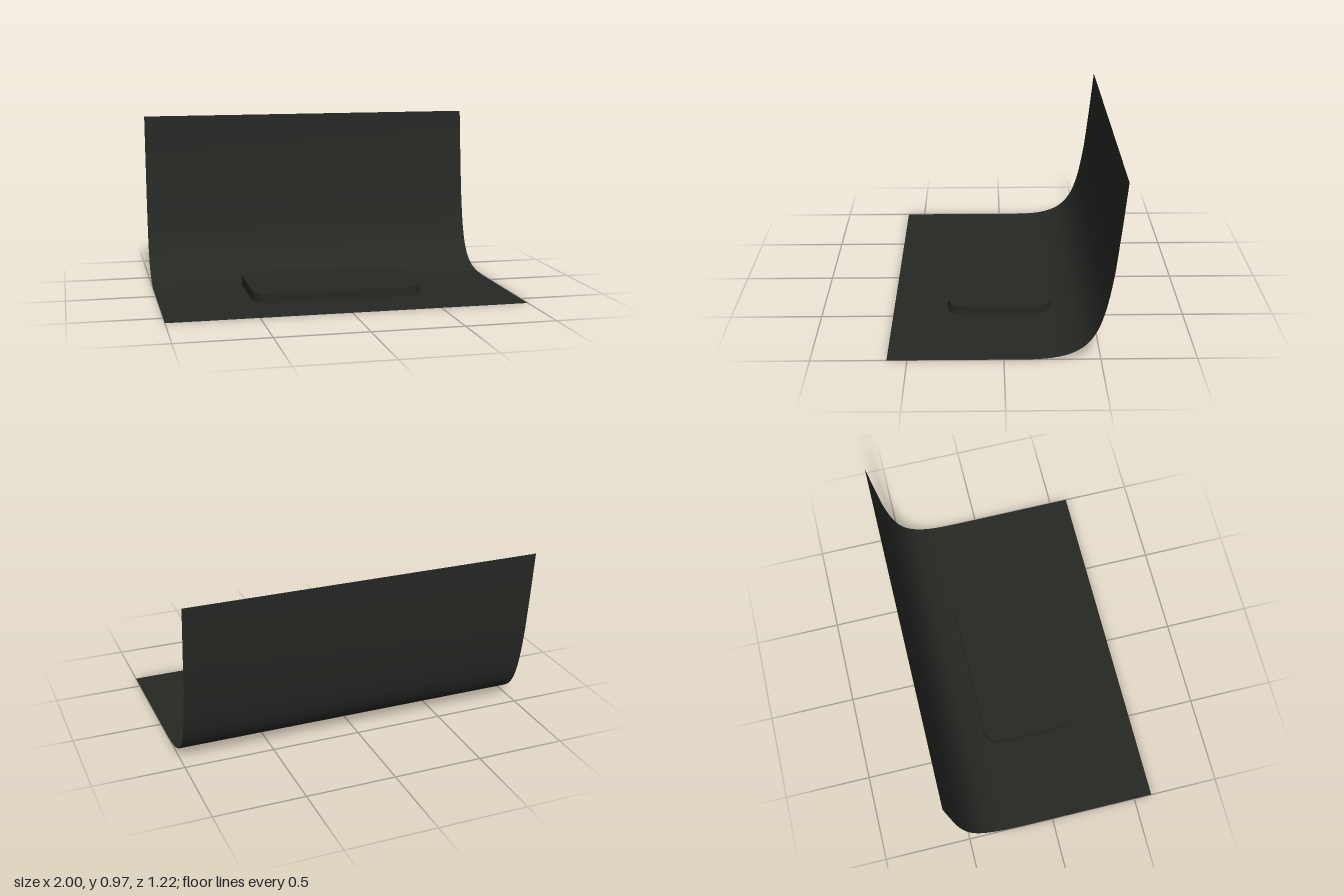
import * as THREE from 'three';

const material = new THREE.MeshStandardMaterial({ color: 0x262824, side: THREE.DoubleSide });

// Side profile (z, y), from the top of the wall down to the front of the floor
function sweepProfile() {
  const v = (z, y) => new THREE.Vector2(z, y);
  const bend = new THREE.CubicBezierCurve(v(-0.56, 0.5), v(-0.5, 0.1), v(-0.45, 0), v(-0.1, 0));
  return [v(-0.61, 0.97), v(-0.587, 0.74), ...bend.getPoints(24), v(0.25, 0), v(0.605, 0)];
}

// Thin sheet: a plane whose rows follow the profile
function backdropGeometry() {
  const profile = sweepProfile();
  const geometry = new THREE.PlaneGeometry(2, 1, 1, profile.length - 1);
  const position = geometry.attributes.position;
  for (let i = 0; i < position.count; i++) {
    const p = profile[Math.floor(i / 2)];
    position.setXYZ(i, position.getX(i), p.y, p.x);
  }
  geometry.computeVertexNormals();
  return geometry;
}

// Low slab with rounded corners in plan
function slabGeometry(width, depth, height, radius) {
  const x = width / 2, y = depth / 2;
  const shape = new THREE.Shape();
  shape.absarc(x - radius, y - radius, radius, 0, Math.PI / 2);
  shape.absarc(-x + radius, y - radius, radius, Math.PI / 2, Math.PI);
  shape.absarc(-x + radius, -y + radius, radius, Math.PI, Math.PI * 1.5);
  shape.absarc(x - radius, -y + radius, radius, Math.PI * 1.5, Math.PI * 2);
  shape.closePath();
  const geometry = new THREE.ExtrudeGeometry(shape, { depth: height, bevelEnabled: false, curveSegments: 10 });
  return geometry.rotateX(-Math.PI / 2);
}

export function createModel() {
  const group = new THREE.Group();
  group.name = 'displayBackdrop';

  const backdrop = new THREE.Mesh(backdropGeometry(), material);
  backdrop.name = 'curvedBackdrop';
  group.add(backdrop);

  const slab = new THREE.Mesh(slabGeometry(0.97, 0.575, 0.055, 0.09), material);
  slab.name = 'displaySlab';
  slab.position.set(0.005, 0, 0.017);
  group.add(slab);

  return group;
}
